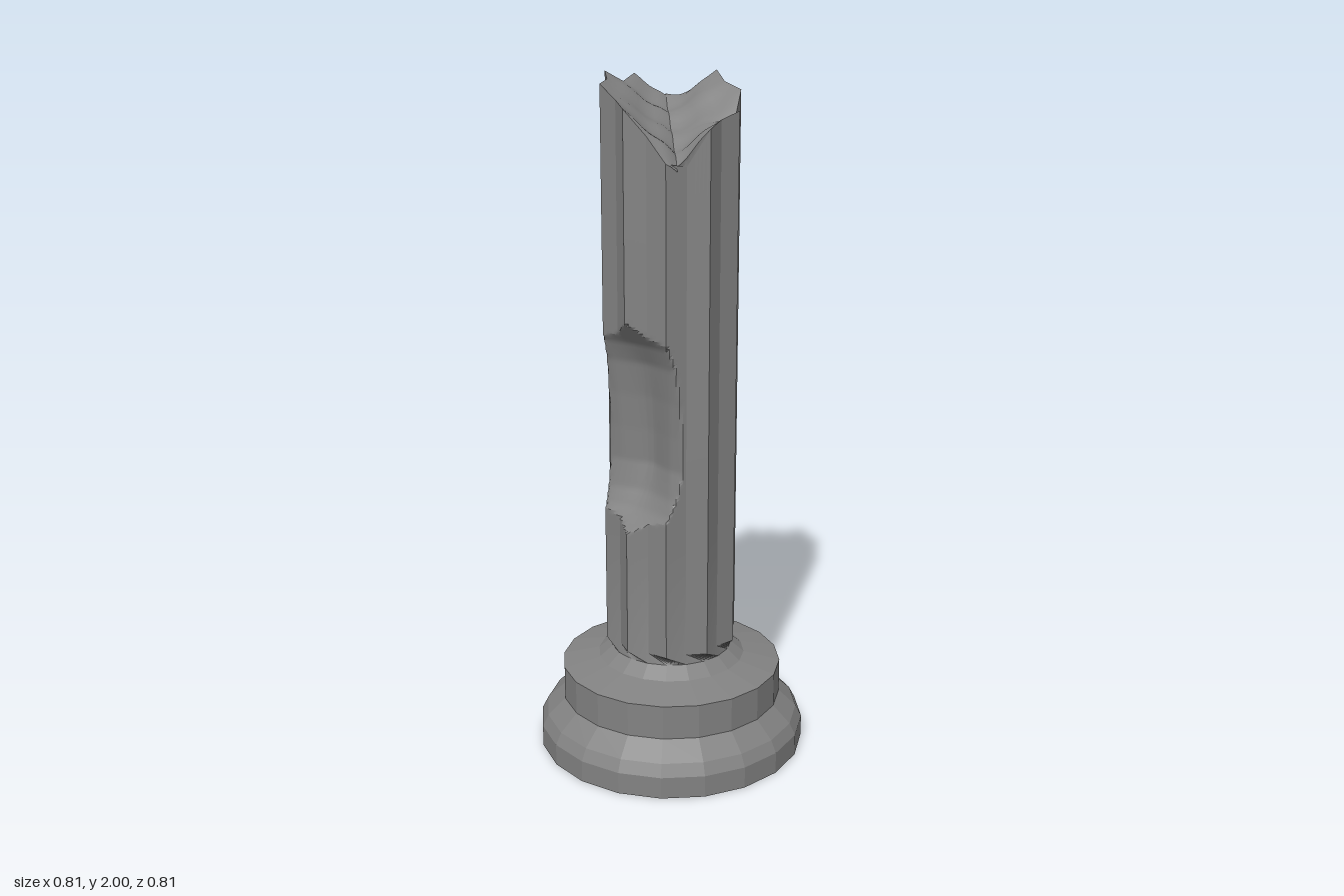
import * as THREE from 'three';
import { toCreasedNormals } from 'three/addons/utils/BufferGeometryUtils.js';

const SUB = 6;              // steps along each flat of a flute
const AROUND = 20 * SUB;    // steps around the shaft
const RIDGE = 0.2, VALLEY = 0.177;

// Broken rim height at each ridge and valley, from the front (+z) towards +x
const RIM = [1.91, 1.84, 1.77, 1.76, 1.86, 1.88, 1.90, 1.88, 1.95, 1.97,
  2.0, 1.95, 1.92, 1.93, 1.99, 1.97, 2.0, 1.98, 1.97, 1.93];

// Chips: direction, distance of the broken face from the axis by height,
// and how strongly the upper edge drops on one side
const CHIPS = [
  { angle: 0, lean: 0,
    cut: [[0.71, 0.2], [0.77, 0.155], [0.82, 0.132], [0.9, 0.114], [1.0, 0.116],
      [1.1, 0.122], [1.2, 0.134], [1.26, 0.155], [1.33, 0.2]] },
  { angle: THREE.MathUtils.degToRad(226), lean: 1.2,
    cut: [[1.18, 0.2], [1.22, 0.145], [1.28, 0.122], [1.38, 0.116], [1.5, 0.116],
      [1.58, 0.124], [1.62, 0.145], [1.64, 0.2]] },
];

const lerp = THREE.MathUtils.lerp;

// Piecewise linear lookup; Infinity outside the range
function lookup(table, x) {
  for (let k = 0; k < table.length - 1; k++) {
    const [x0, y0] = table[k], [x1, y1] = table[k + 1];
    if (x >= x0 && x <= x1) return lerp(y0, y1, (x - x0) / (x1 - x0));
  }
  return Infinity;
}

// Point (x, z) on the fluted section in plan
function section(i, valley = VALLEY, ridge = RIDGE) {
  const corner = (k) => {
    const a = k * Math.PI / 10, r = k % 2 ? valley : ridge;
    return new THREE.Vector2(Math.sin(a) * r, Math.cos(a) * r);
  };
  const k = Math.floor(i / SUB);
  return corner(k).lerp(corner(k + 1), (i % SUB) / SUB);
}

function rimHeight(i) {
  const k = Math.floor(i / SUB);
  return lerp(RIM[k % 20], RIM[(k + 1) % 20], (i % SUB) / SUB);
}

// Pull a plan point in wherever a chip has been knocked out
function chipped(p, y) {
  const a = Math.atan2(p.x, p.y);
  let r = p.length();
  for (const { angle, lean, cut } of CHIPS) {
    const t = Math.atan2(Math.sin(a - angle), Math.cos(a - angle));
    const foot = cut[0][0];
    let d = lookup(cut, foot + (y - foot) * (1 + lean * Math.max(0, t) ** 2));
    if (d === Infinity || Math.abs(t) > 1.3) continue;
    d -= (RIDGE - d) * 0.3 * Math.max(0, Math.cos(2.3 * t));   // hollow middle
    r = Math.min(r, d / Math.cos(t));
  }
  return p.setLength(r);
}

// Closed band of quads from point(i, j)
function band(rows, point, crease) {
  const pos = [], index = [];
  for (let j = 0; j < rows; j++)
    for (let i = 0; i < AROUND; i++) pos.push(...point(i, j));
  for (let j = 0; j < rows - 1; j++) {
    for (let i = 0; i < AROUND; i++) {
      const n = (i + 1) % AROUND;
      const a = j * AROUND + i, b = j * AROUND + n;
      index.push(a, b, b + AROUND, a, b + AROUND, a + AROUND);
    }
  }
  const g = new THREE.BufferGeometry();
  g.setAttribute('position', new THREE.Float32BufferAttribute(pos, 3));
  g.setIndex(index);
  return toCreasedNormals(g, crease);
}

export function createModel() {
  const group = new THREE.Group();
  const add = (name, geometry, flatShading = false) => {
    const mesh = new THREE.Mesh(geometry, new THREE.MeshStandardMaterial({ color: 0x828282, flatShading }));
    mesh.name = name;
    group.add(mesh);
  };

  // Stepped round base with a sloping collar
  const profile = [[0, 0], [0.403, 0], [0.403, 0.065], [0.385, 0.1], [0.332, 0.15],
    [0.332, 0.252], [0.222, 0.277], [0.18, 0.312], [0, 0.312]];
  add('base', new THREE.LatheGeometry(profile.map(([x, y]) => new THREE.Vector2(x, y)), 20), true);

  // Fluted shaft: slanted flute stops, chipped length, then up to the broken rim
  const levels = [0.31, 0.34];
  for (let y = 0.7; y < 1.66; y += 0.009) levels.push(y);
  add('shaft', band(levels.length + 1, (i, j) => {
    if (j === 0) {
      const p = section(i + SUB, 0.183, 0.183);
      return [p.x, levels[0], p.y];
    }
    const y = j < levels.length ? levels[j] : rimHeight(i);
    const p = chipped(section(i), y);
    return [p.x, y, p.y];
  }, 0.38));

  // Broken top: both sides fall to a sloping valley along one diagonal
  const RINGS = 9, diagonal = new THREE.Vector2(1, 1).normalize();
  add('brokenTop', band(RINGS, (i, j) => {
    const t = 1 - j / (RINGS - 1);
    const rim = section(i), s = rim.dot(diagonal);
    const p = diagonal.clone().multiplyScalar(s).lerp(rim, t);
    const rough = 0.012 * Math.sin(p.x * 45 + 1) * Math.sin(p.y * 38) * (1 - t * t);
    return [p.x, lerp(1.84 - 0.42 * s, rimHeight(i), t) + rough, p.y];
  }, 0.6));

  return group;
}
